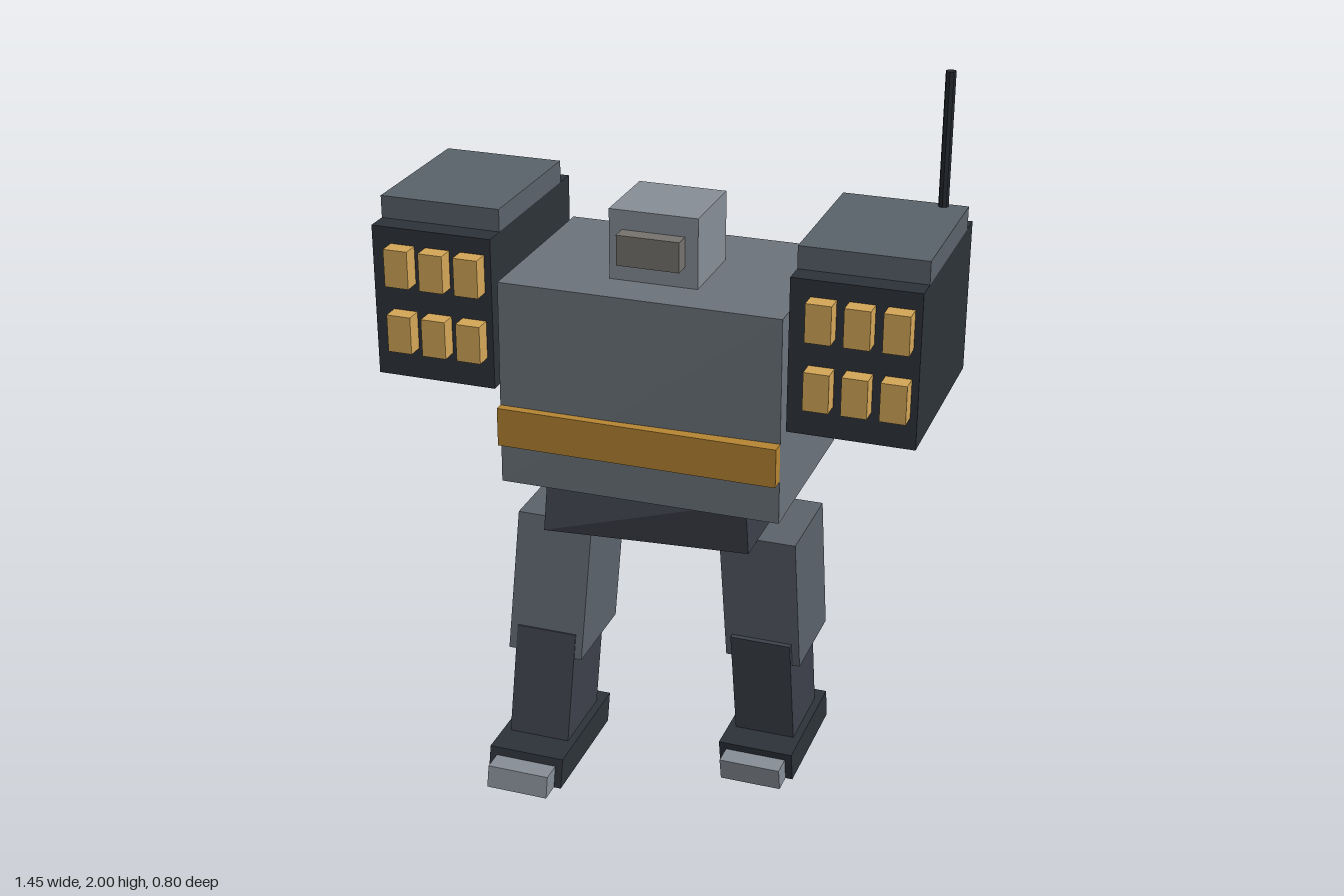
import * as THREE from 'three';

const mats = {};
const mat = (c) => (mats[c] ??= new THREE.MeshStandardMaterial({ color: c, flatShading: true }));
const C = {
  torso: 0x6b727a, head: 0x868d96, visor: 0x75726d, band: 0xb58432, shell: 0xd3a656,
  dark: 0x2d3239, cap: 0x5a626a, hip: 0x3c404a, thigh: 0x5b626b, antenna: 0x24282d,
};

// Box given by its ranges; warp(v, top) may move the corners
function block(name, color, [x0, x1], [y0, y1], [z0, z1], warp) {
  const g = new THREE.BoxGeometry(x1 - x0, y1 - y0, z1 - z0);
  g.translate((x0 + x1) / 2, (y0 + y1) / 2, (z0 + z1) / 2);
  if (warp) {
    const p = g.attributes.position, v = new THREE.Vector3();
    for (let i = 0; i < p.count; i++) {
      v.fromBufferAttribute(p, i);
      warp(v, v.y > (y0 + y1) / 2);
      p.setXYZ(i, v.x, v.y, v.z);
    }
    g.computeVertexNormals();
  }
  const m = new THREE.Mesh(g, mat(color));
  m.name = name;
  return m;
}

// Striding leg: every part has level ends and leans in z.
// Rows: name, colour, half width, y range, z range at the bottom, lean of the top
function leg(name, cx, rows) {
  const group = new THREE.Group();
  group.name = name;
  for (const [part, color, hw, y, z, lean] of rows) {
    group.add(block(part, color, [cx - hw, cx + hw], y, z, (v, top) => { if (top) v.z += lean; }));
  }
  return group;
}

// Shoulder box with a raised cap and two rows of three projectiles
function launcher(name, cx) {
  const group = new THREE.Group();
  group.name = name;
  const x = [cx - 0.165, cx + 0.165];
  group.add(block('launcherBox', C.dark, x, [1.177, 1.588], [-0.361, 0.18]));
  group.add(block('launcherCap', C.cap, x, [1.588, 1.648], [-0.3, 0.119]));
  for (const y of [1.313, 1.493]) {
    for (const i of [-1, 0, 1]) {
      const px = cx + 0.017 + i * 0.097;
      group.add(block('projectile', C.shell, [px - 0.033, px + 0.033], [y - 0.051, y + 0.051], [0.14, 0.226]));
    }
  }
  return group;
}

export function createModel() {
  const model = new THREE.Group();
  model.name = 'walker';

  // Torso and hips, twisted slightly by the stride
  model.add(block('torso', C.torso, [-0.378, 0.378], [0.914, 1.475], [-0.35, 0.179], (v, top) => {
    if (!top) { v.z -= Math.sign(v.x) * 0.01; v.y -= Math.sign(v.x) * 0.004; }
  }));
  model.add(block('hips', C.hip, [-0.273, 0.273], [0.768, 0.925], [-0.272, 0.123], (v, top) => {
    const s = Math.sign(v.x);
    v.z -= s * (top ? 0.0075 : 0.04);
    if (!top) v.y -= s * 0.008;
  }));
  model.add(block('chestBand', C.band, [-0.378, 0.378], [1.03, 1.136], [0.16, 0.209]));

  // Head
  model.add(block('head', C.head, [-0.119, 0.119], [1.46, 1.663], [-0.17, 0.058]));
  model.add(block('visor', C.visor, [-0.084, 0.084], [1.53, 1.611], [0.03, 0.102]));

  // Shoulders and antenna
  model.add(launcher('leftLauncher', 0.559), launcher('rightLauncher', -0.559));
  const antenna = new THREE.Mesh(new THREE.CylinderGeometry(0.0135, 0.0135, 0.37, 8), mat(C.antenna));
  antenna.name = 'antenna';
  antenna.position.set(0.662, 1.815, -0.282);
  model.add(antenna);

  // Legs: left trails, right is lifted forward
  model.add(leg('leftLeg', 0.272, [
    ['thigh', C.thigh, 0.106, [0.346, 0.762], [-0.345, -0.077], 0.081],
    ['shin', C.hip, 0.085, [0.08, 0.42], [-0.334, -0.113], 0.067],
    ['foot', C.dark, 0.106, [0, 0.09], [-0.398, -0.038], 0.018],
    ['toe', C.head, 0.086, [0, 0.068], [-0.1, 0.02], 0.015],
  ]));
  model.add(leg('rightLeg', -0.272, [
    ['thigh', C.thigh, 0.106, [0.404, 0.777], [-0.086, 0.18], -0.093],
    ['shin', C.hip, 0.085, [0.165, 0.47], [0.018, 0.239], -0.072],
    ['foot', C.dark, 0.106, [0.093, 0.174], [-0.016, 0.347], -0.018],
    ['toe', C.head, 0.086, [0.093, 0.152], [0.28, 0.404], -0.013],
  ]));
  return model;
}
